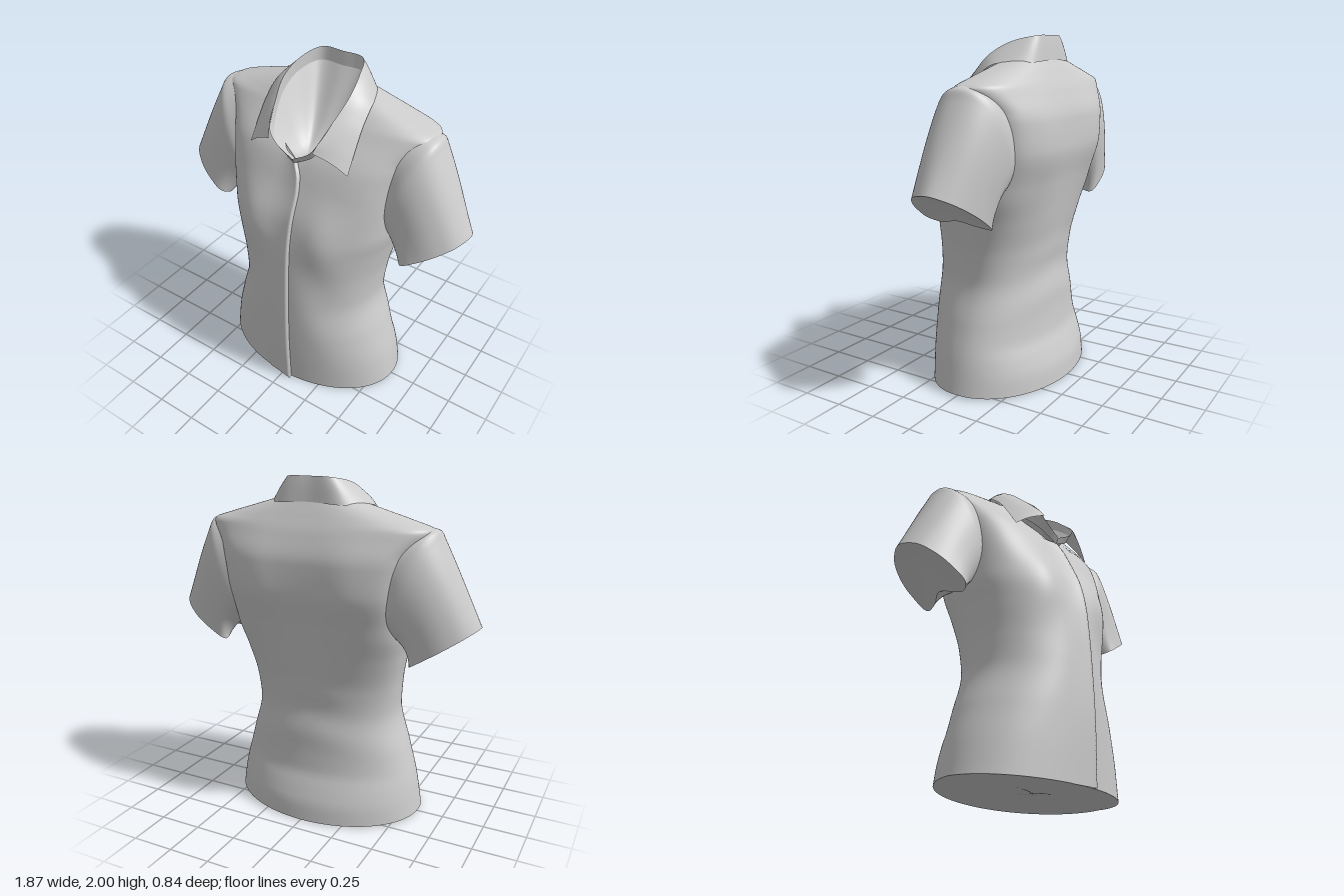
import * as THREE from 'three';

const cloth = new THREE.MeshStandardMaterial({ color: 0xcccccc, side: THREE.DoubleSide });
const TAU = Math.PI * 2;

// Smooth interpolation through [x, value] knots, without overshoot at extremes
function curve(knots) {
  const slope = (i) => (knots[i + 1][1] - knots[i][1]) / (knots[i + 1][0] - knots[i][0]);
  const tangent = (i) => {
    if (i === 0) return slope(0);
    if (i === knots.length - 1) return slope(i - 1);
    const a = slope(i - 1), b = slope(i);
    return a * b <= 0 ? 0 : (2 * a * b) / (a + b);
  };
  return (x) => {
    let i = 0;
    while (i < knots.length - 2 && x > knots[i + 1][0]) i++;
    const h = knots[i + 1][0] - knots[i][0];
    const t = THREE.MathUtils.clamp((x - knots[i][0]) / h, 0, 1);
    const t2 = t * t, t3 = t2 * t;
    return (2 * t3 - 3 * t2 + 1) * knots[i][1] + (t3 - 2 * t2 + t) * h * tangent(i)
      + (3 * t2 - 2 * t3) * knots[i + 1][1] + (t3 - t2) * h * tangent(i + 1);
  };
}

// Surface from a rule f(u, v) -> [x, y, z]; closed wraps around in u
function surface(name, nu, nv, closed, f) {
  const pos = [], index = [], cols = closed ? nu : nu + 1;
  for (let j = 0; j <= nv; j++) for (let i = 0; i < cols; i++) pos.push(...f(i / nu, j / nv));
  for (let j = 0; j < nv; j++) for (let i = 0; i < nu; i++) {
    const k = (i + 1) % cols, a = j * cols, b = a + cols;
    index.push(a + i, a + k, b + k, a + i, b + k, b + i);
  }
  const geo = new THREE.BufferGeometry();
  geo.setAttribute('position', new THREE.Float32BufferAttribute(pos, 3));
  geo.setIndex(index);
  geo.computeVertexNormals();
  const mesh = new THREE.Mesh(geo, cloth);
  mesh.name = name;
  return mesh;
}

// Torso outline by height: half width, front, back and side seam depth
const halfWidth = curve([[0, 0.6], [0.2, 0.565], [0.4, 0.51], [0.65, 0.445], [0.8, 0.455], [1, 0.49],
  [1.15, 0.52], [1.4, 0.53], [1.6, 0.57], [1.735, 0.665], [1.78, 0.545], [1.82, 0.41], [1.85, 0.31], [1.87, 0.24]]);
const frontZ = curve([[0, 0.39], [0.4, 0.4], [0.8, 0.385], [1, 0.37], [1.2, 0.33], [1.4, 0.25],
  [1.5, 0.21], [1.56, 0.18], [1.7, 0.07], [1.8, -0.01], [1.87, -0.07]]);
const backZ = curve([[0, -0.41], [0.1, -0.4], [0.2, -0.37], [0.3, -0.335], [0.5, -0.32], [0.7, -0.3],
  [0.8, -0.31], [1, -0.34], [1.2, -0.375], [1.4, -0.41], [1.55, -0.405], [1.7, -0.36], [1.8, -0.31], [1.87, -0.27]]);
const sideZ = curve([[0, 0], [0.6, -0.02], [1.2, -0.09], [1.7, -0.13], [1.87, -0.15]]);
const frontSquare = curve([[0, 1], [0.8, 0.92], [1.2, 0.75], [1.45, 0.57], [1.6, 0.6], [1.74, 0.75], [1.87, 0.72]]);
const backSquare = curve([[0, 1], [0.8, 0.9], [1.2, 0.62], [1.45, 0.46], [1.6, 0.5], [1.74, 0.72], [1.87, 0.72]]);
const neckX = curve([[1.5, -0.04], [1.54, 0.005], [1.6, 0.11], [1.67, 0.17], [1.75, 0.2], [1.9, 0.2]]);
const bump = (x, y, cx, cy, rx, ry) => Math.exp(-(((Math.abs(x) - cx) / rx) ** 2) - ((y - cy) / ry) ** 2);

function torsoPoint(angle, y) {
  const s = Math.sin(angle), c = Math.cos(angle), p = c > 0 ? frontSquare(y) : backSquare(y);
  const x = halfWidth(y) * Math.sign(s) * Math.abs(s) ** p;
  const depth = c > 0 ? frontZ(y) - sideZ(y) : sideZ(y) - backZ(y);
  let z = sideZ(y) + depth * Math.sign(c) * Math.abs(c) ** p;
  // bust, shoulder blades and soft drape folds
  if (c > 0) z += c * (0.025 * bump(x, y, 0.24, 1.15, 0.13, 0.18)
    + 0.005 * Math.sin(16 * Math.abs(x) + 9 * y) * bump(x, y, 0.28, 0.75, 0.2, 0.45));
  else z += c * (0.014 * bump(x, y, 0.26, 1.45, 0.14, 0.25)
    + 0.003 * Math.sin(26 * y + 5 * Math.abs(x)) * bump(x, y, 0.1, 0.65, 0.4, 0.25));
  return [x, y, z];
}

// Height where a torso column meets the neckline
function columnTop(angle) {
  if (Math.cos(angle) <= 0) return 1.87;
  let y = 1.5;
  while (y < 1.87 && Math.abs(torsoPoint(angle, y)[0]) >= neckX(y)) y += 0.002;
  return Math.min(y, 1.87);
}

const hemY = (angle) => 0.02 - 0.015 * Math.abs(Math.cos(angle));

// Sleeve: upper seam line and front/back reach from inside the armhole (t = 0) to the cuff (t = 1)
const topX = curve([[0, 0.6], [0.12, 0.688], [0.2, 0.712], [1, 0.935]]);
const topY = curve([[0, 1.757], [0.12, 1.735], [0.2, 1.69], [1, 1.235]]);
const sleeveFront = curve([[0, 0.175], [0.22, 0.22], [1, 0.2]]);
const sleeveBack = curve([[0, 0.2], [0.22, 0.23], [1, 0.2]]);
// Cuff outline as (z, share of the way from lower to upper seam), starting at the top
const cuff = new THREE.CatmullRomCurve3([[-0.1, 1], [0, 0.92], [0.075, 0.7], [0.118, 0.4], [0.118, 0.12],
  [0.06, 0.04], [-0.08, 0.18], [-0.17, 0.05], [-0.245, 0], [-0.275, 0.3], [-0.255, 0.62], [-0.19, 0.88]]
  .map(([z, k]) => new THREE.Vector3(z, k, 0)), true);

function sleevePoint(u, t) {
  const c = Math.cos(u * TAU), s = Math.sin(u * TAU), end = cuff.getPoint(u);
  const k = THREE.MathUtils.lerp((1 + Math.sign(c) * Math.abs(c) ** 0.9) / 2, end.y, t * t);
  const reach = s > 0 ? sleeveFront(t) : sleeveBack(t);
  const ringZ = -0.12 + reach * Math.sign(s) * Math.abs(s) ** 0.85;
  const z = THREE.MathUtils.lerp(ringZ, end.x, t);
  const lowX = 0.44 + 0.15 * t, lowY = 1.18 - 0.17 * t;
  const tuck = 0.09 * s * s * (1 - t) ** 3;
  return [lowX + (topX(t) - lowX) * k - tuck, lowY + (topY(t) - lowY) * k, z];
}

// Curve mirrored across x = 0, from half a list that starts at centre back
function mirroredCurve(half) {
  const left = half.map((p) => new THREE.Vector3(...p));
  const right = half.slice(1).reverse().map((p) => new THREE.Vector3(-p[0], p[1], p[2]));
  return new THREE.CatmullRomCurve3([...right, ...left]);
}

function ribbon(name, a, b, bulge) {
  return surface(name, 96, 8, false, (u, v) => {
    const p = a.getPoint(u).lerp(b.getPoint(u), v);
    const lift = bulge * Math.sin(Math.PI * v);
    return [p.x * (1 + lift), p.y + lift, p.z];
  });
}

export function createModel() {
  const shirt = new THREE.Group();
  shirt.name = 'shirt';

  // Torso with the neckline cut into the front columns
  shirt.add(surface('torso', 160, 100, true, (u, v) => {
    const a = u * TAU, top = columnTop(a), low = hemY(a);
    return torsoPoint(a, low + (top - low) * (1 - (1 - v) ** 1.5));
  }));

  // Closed underside, slightly hollow
  shirt.add(surface('hemUnderside', 128, 6, true, (u, v) => {
    const a = -u * TAU, p = torsoPoint(a, hemY(a));
    return [p[0] * (1 - v), p[1] + 0.02 * Math.sin(v * Math.PI / 2), p[2] * (1 - v)];
  }));

  // Overlapping button placket with a raised free edge
  const edgeX = curve([[0, 0.065], [1.35, 0.06], [1.46, 0.045], [1.545, 0]]);
  shirt.add(surface('placket', 10, 60, false, (u, v) => {
    const y = 0.003 + 1.537 * v, across = Math.min(u / 0.9, 1);
    const x = -0.1 + (edgeX(y) + 0.1) * across;
    const angle = Math.asin((Math.abs(x) / halfWidth(y)) ** (1 / frontSquare(y))) * Math.sign(x);
    const z = torsoPoint(angle, y)[2];
    return [x, y, u > 0.95 ? z - 0.005 : z + 0.003 + 0.02 * across * across];
  }));

  // Sleeves with closed cuffs
  for (const side of [1, -1]) {
    const sleeve = new THREE.Group();
    sleeve.name = side > 0 ? 'leftSleeve' : 'rightSleeve';
    sleeve.add(surface('sleeveShell', 72, 40, true, sleevePoint));
    sleeve.add(surface('cuffUnderside', 72, 4, true, (u, v) => {
      const p = sleevePoint(1 - u, 1), dip = 0.01 * Math.sin(v * Math.PI / 2);
      return [p[0] + (0.775 - p[0]) * v - dip * 0.5, p[1] + (1.13 - p[1]) * v + dip, p[2] + (-0.085 - p[2]) * v];
    }));
    sleeve.scale.x = side;
    shirt.add(sleeve);
  }

  // Collar: inner stand up to the fold, then the leaf turned down outside
  const foldPoints = [[0, 2, -0.255], [0.13, 1.997, -0.25], [0.19, 1.965, -0.12], [0.21, 1.895, 0.01],
    [0.19, 1.81, 0.11], [0.155, 1.7, 0.22], [0.14, 1.655, 0.25]];
  const fold = mirroredCurve(foldPoints);
  const leafEdge = mirroredCurve([[0, 1.865, -0.275], [0.19, 1.855, -0.272], [0.265, 1.85, -0.2],
    [0.303, 1.842, -0.07], [0.311, 1.765, 0.03], [0.316, 1.66, 0.11], [0.32, 1.545, 0.185]]);
  const standBase = mirroredCurve([[0, 1.84, -0.24], [0.14, 1.84, -0.235], [0.19, 1.82, -0.1], [0.2, 1.76, 0],
    [0.18, 1.69, 0.1], [0.13, 1.62, 0.175], [0.1, 1.585, 0.2], [0.0, 1.53, 0.215]]);
  const standTop = mirroredCurve([...foldPoints.slice(0, 6), [0.11, 1.635, 0.235], [0.0, 1.565, 0.235]]);
  shirt.add(ribbon('collarStand', standBase, standTop, 0));
  shirt.add(ribbon('collarLeaf', leafEdge, fold, 0.012));

  // Lining that closes the neck, falling from the back to a low point in front
  shirt.add(surface('neckLining', 96, 12, false, (u, v) => {
    const p = standBase.getPoint(u).lerp(standTop.getPoint(u), 0.5);
    return [p.x * (1 - v), p.y + (1.52 - p.y) * Math.sin(v * Math.PI / 2), p.z + (0.09 - p.z) * v];
  }));
  return shirt;
}
